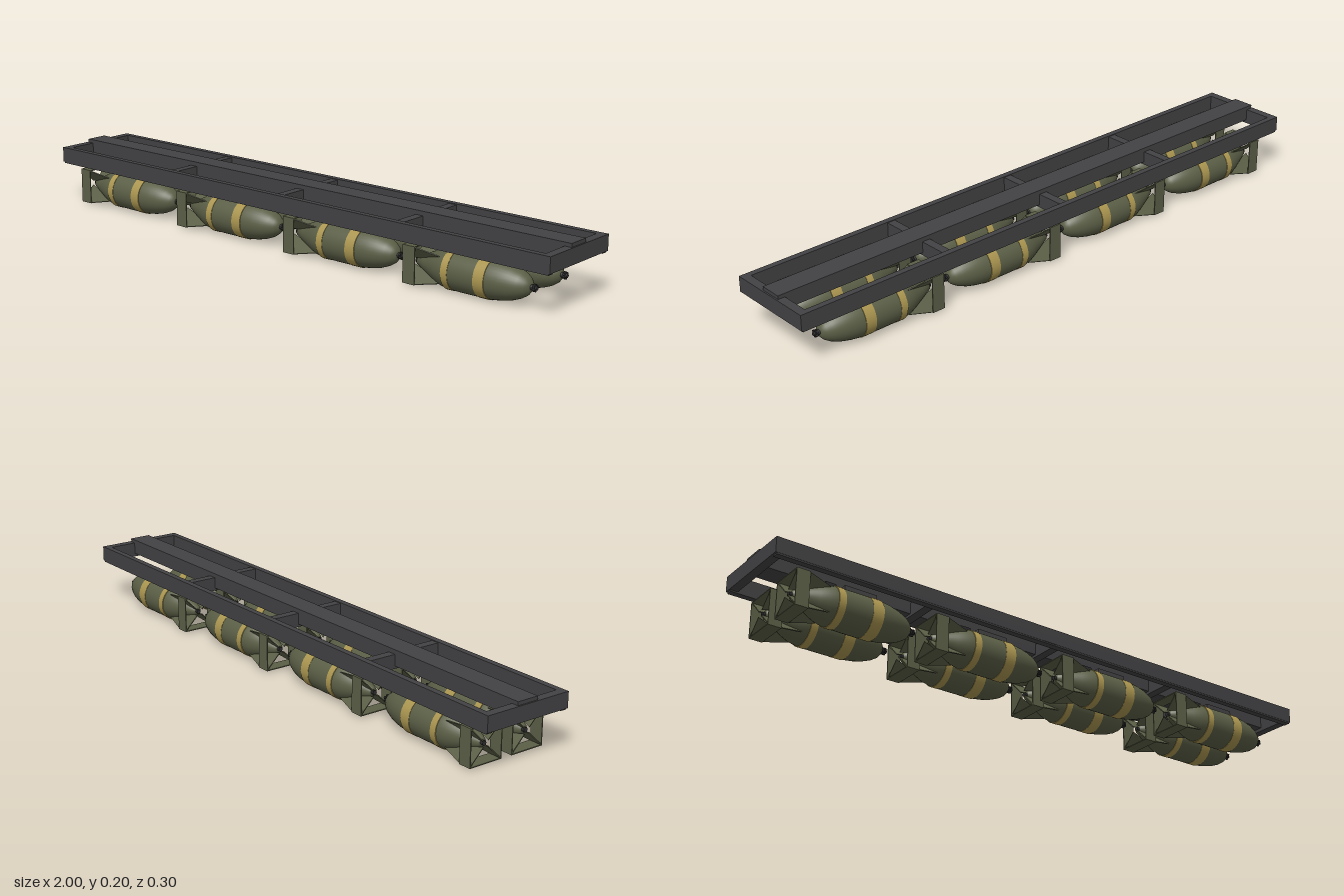
import * as THREE from 'three';

const mat = (name, color) => {
  const m = new THREE.MeshStandardMaterial({ color });
  m.name = name;
  return m;
};
const AXIS_Y = 0.065, ROW_Z = 0.0775, PITCH = 0.47;

export function createModel() {
  const steel = mat('dark steel', 0x424244);
  const olive = mat('olive paint', 0x5b5f46);
  const yellow = mat('yellow band', 0xab9650);
  const black = mat('fuze metal', 0x2e2e30);

  const model = new THREE.Group();
  model.name = 'bombRack';
  const add = (parent, name, geo, material, x = 0, y = 0, z = 0) => {
    const mesh = new THREE.Mesh(geo, material);
    mesh.name = name;
    mesh.position.set(x, y, z);
    parent.add(mesh);
    return mesh;
  };
  // cylinder lying along x between two stations
  const drum = (x0, x1, r0, r1 = r0, sides = 32) =>
    new THREE.CylinderGeometry(r1, r0, x1 - x0, sides).rotateZ(-Math.PI / 2).translate((x0 + x1) / 2, 0, 0);

  // frame: spine, side rails with lower lips, cross members
  const frame = new THREE.Group();
  frame.name = 'frame';
  model.add(frame);
  add(frame, 'spine', new THREE.BoxGeometry(1.99, 0.05, 0.073), steel, 0, 0.1765, 0);
  for (const s of [-1, 1]) {
    add(frame, 'sideRail', new THREE.BoxGeometry(2, 0.05, 0.02), steel, 0, 0.165, s * 0.14);
    add(frame, 'railLip', new THREE.BoxGeometry(1.99, 0.006, 0.021), steel, 0, 0.138, s * 0.1385);
    add(frame, 'endBeam', new THREE.BoxGeometry(0.028, 0.05, 0.298), steel, s * 0.986, 0.165, 0);
  }
  for (const x of [-PITCH, 0, PITCH]) {
    add(frame, 'crossMember', new THREE.BoxGeometry(0.028, 0.045, 0.28), steel, x, 0.165, 0);
  }

  // shared bomb geometry, nose toward +x
  const profile = [
    [0, -0.2], [0.014, -0.2], [0.03, -0.165], [0.046, -0.13], [0.056, -0.105], [0.061, -0.08],
    [0.0622, -0.05], [0.0625, 0], [0.0622, 0.045], [0.061, 0.075], [0.057, 0.105], [0.05, 0.135],
    [0.039, 0.163], [0.028, 0.18], [0.016, 0.19], [0, 0.193],
  ].map(([r, x]) => new THREE.Vector2(r, x));
  const bodyGeo = new THREE.LatheGeometry(profile, 36).rotateZ(-Math.PI / 2);

  const square = (h) => [[-h, -h], [h, -h], [h, h], [-h, h]].map(([a, b]) => new THREE.Vector2(a, b));
  const boxShape = new THREE.Shape(square(0.0585));
  boxShape.holes.push(new THREE.Path(square(0.0555)));
  const tailBoxGeo = new THREE.ExtrudeGeometry(boxShape, { depth: 0.044, bevelEnabled: false })
    .rotateY(Math.PI / 2).translate(-0.218, 0, 0);

  const finShape = new THREE.Shape([
    [-0.216, 0.012], [-0.1, 0.045], [-0.098, 0.059], [-0.176, 0.081], [-0.216, 0.081],
  ].map(([x, r]) => new THREE.Vector2(x, r)));
  const finGeo = new THREE.ExtrudeGeometry(finShape, { depth: 0.003, bevelEnabled: false }).translate(0, 0, -0.0015);

  const makeBomb = () => {
    const bomb = new THREE.Group();
    bomb.name = 'bomb';
    add(bomb, 'body', bodyGeo, olive);
    add(bomb, 'rearBand', drum(-0.079, -0.056, 0.0632), yellow);
    add(bomb, 'frontBand', drum(0.034, 0.07, 0.0632), yellow);
    add(bomb, 'tailBox', tailBoxGeo, olive);
    for (let k = 0; k < 4; k++) {
      add(bomb, 'tailFin', finGeo, olive).rotation.x = Math.PI / 4 + k * Math.PI / 2;
    }
    // nose fuze with a ring of small vanes
    add(bomb, 'noseFuze', drum(0.186, 0.211, 0.009, 0.006, 12), black);
    for (let k = 0; k < 6; k++) {
      const a = k * Math.PI / 3;
      add(bomb, 'fuzeVane', new THREE.BoxGeometry(0.008, 0.005, 0.005), black,
        0.203, Math.cos(a) * 0.009, Math.sin(a) * 0.009).rotation.x = a;
    }
    add(bomb, 'tailFuze', drum(-0.21, -0.198, 0.007, 0.007, 12), black);
    return bomb;
  };

  // two rows of four bombs, each with a hanger and a rear lug
  for (const s of [-1, 1]) {
    for (let i = 0; i < 4; i++) {
      const x = (i - 1.5) * PITCH;
      const bomb = makeBomb();
      bomb.position.set(x, AXIS_Y, s * ROW_Z);
      model.add(bomb);
      add(model, 'hanger', new THREE.BoxGeometry(0.106, 0.022, 0.023), steel, x + 0.017, 0.133, s * ROW_Z);
      add(model, 'rearLug', new THREE.BoxGeometry(0.035, 0.018, 0.016), black, x - 0.08, 0.13, s * ROW_Z);
    }
  }
  return model;
}
